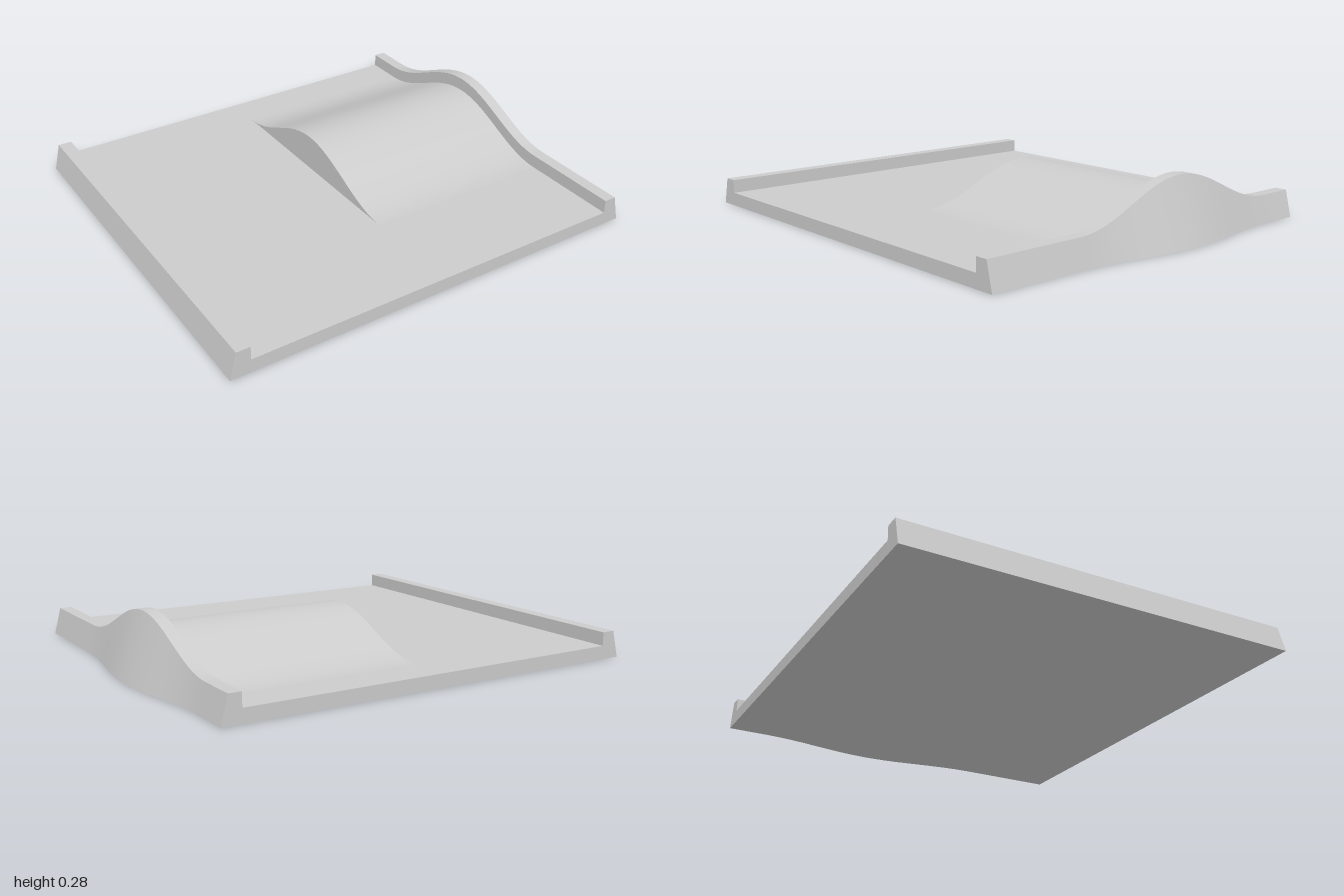
import * as THREE from 'three';
import { toCreasedNormals } from 'three/addons/utils/BufferGeometryUtils.js';

const HALF_Z = 0.875, PEAK_Z = -0.14, HALF_BUMP = 0.56, BUMP = 0.165;

// Height of the smooth swell along z
function swell(z) {
  const t = Math.min(1, Math.abs(z - PEAK_Z) / HALF_BUMP);
  return BUMP * 0.5 * (1 + Math.cos(Math.PI * t));
}

// Joins counter-clockwise convex cross-sections along z, with end caps
function loft(section, zs) {
  const pos = [];
  const rings = zs.map((z) => section(swell(z)).map(([x, y]) => [x, y, z]));
  const tri = (a, b, c) => pos.push(...a, ...b, ...c);
  const n = rings[0].length;
  for (let k = 0; k < rings.length - 1; k++) {
    const r = rings[k], s = rings[k + 1];
    for (let i = 0; i < n; i++) {
      const j = (i + 1) % n;
      tri(r[i], r[j], s[j]);
      tri(r[i], s[j], s[i]);
    }
  }
  const first = rings[0], last = rings[rings.length - 1];
  for (let i = 1; i < n - 1; i++) {
    tri(first[0], first[i + 1], first[i]);
    tri(last[0], last[i], last[i + 1]);
  }
  const g = new THREE.BufferGeometry();
  g.setAttribute('position', new THREE.Float32BufferAttribute(pos, 3));
  return toCreasedNormals(g, 0.4);
}

export function createModel() {
  const group = new THREE.Group();
  const grey = new THREE.MeshStandardMaterial({ color: 0xcccccc });
  grey.name = 'light grey';
  const add = (name, geometry) => {
    const mesh = new THREE.Mesh(geometry, grey);
    mesh.name = name;
    group.add(mesh);
  };

  // Flat deck with the low curb on its right edge
  const profile = new THREE.Shape([
    [-1, 0], [0.85, 0], [0.85, 0.06], [-0.91, 0.06], [-0.91, 0.12], [-0.97, 0.12],
  ].map(([x, y]) => new THREE.Vector2(x, y)));
  const deck = new THREE.ExtrudeGeometry(profile, { depth: 2 * HALF_Z, bevelEnabled: false });
  deck.translate(0, 0, -HALF_Z);
  add('deckWithLowCurb', deck);

  // Swell stations, shared by the hump and the raised curb
  const steps = 40;
  const stations = Array.from({ length: steps + 1 },
    (_, i) => PEAK_Z - HALF_BUMP + (2 * HALF_BUMP * i) / steps);

  // Hump on the deck
  add('hump', loft((b) => [
    [-0.03, 0.06], [0.85, 0.06], [0.85, 0.06 + b], [-0.03, 0.06 + b],
  ], stations));

  // Curb that rises over the hump and flares out at its foot
  add('raisedCurb', loft((b) => [
    [0.85, 0], [0.935 + 0.38 * b, 0], [0.905, 0.12 + b], [0.85, 0.12 + b],
  ], [-HALF_Z, ...stations, HALF_Z]));

  return group;
}
